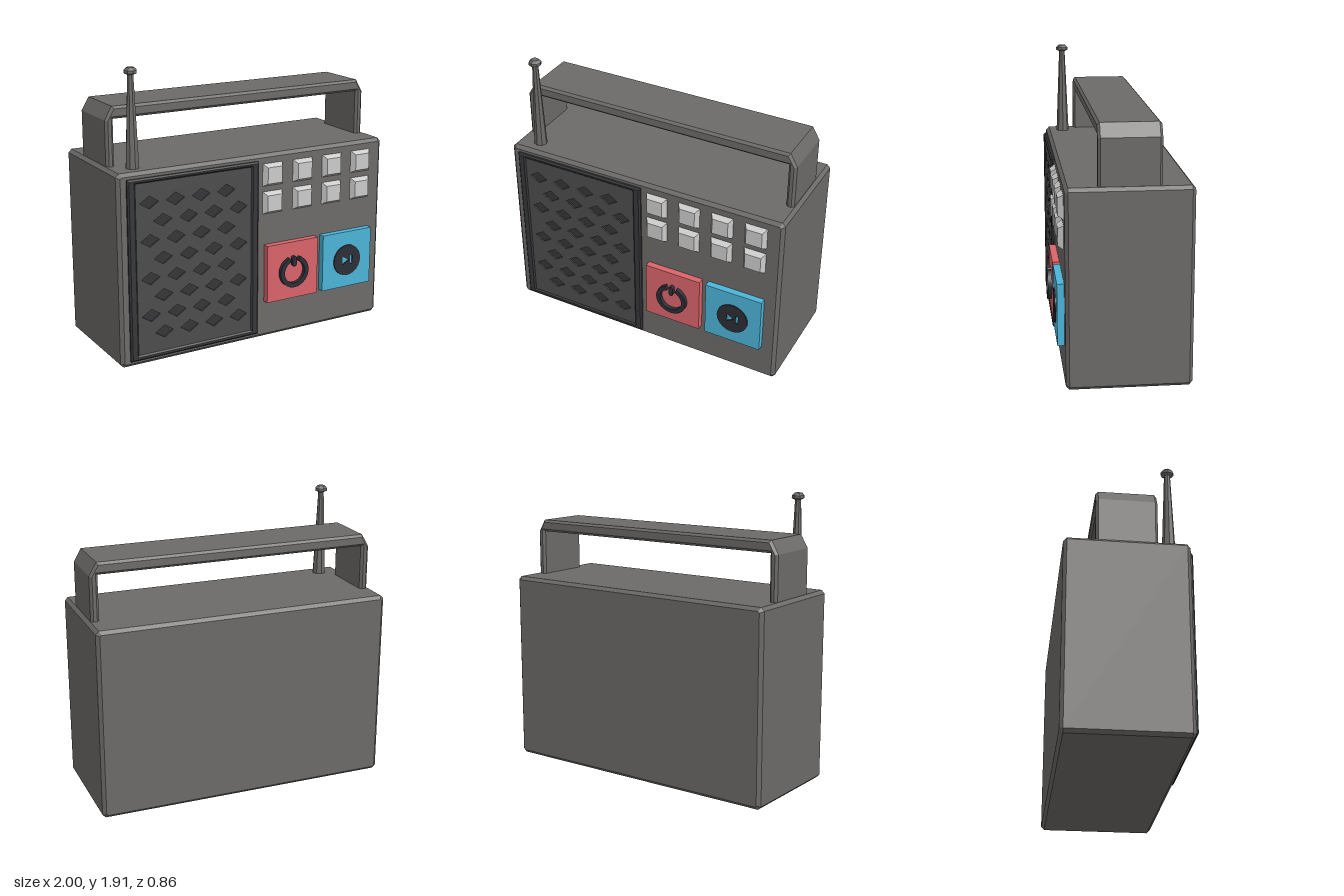
import * as THREE from 'three';

const mat = (color) => new THREE.MeshStandardMaterial({ color, flatShading: true });
const GREY = mat(0xcccccc), CASE = mat(0x6c6a68), FRAME = mat(0x36373a), GRILLE = mat(0x4c4c4d);
const HOLE = mat(0x353538), RED = mat(0xd9646a), BLUE = mat(0x4cb4d8), ICON = mat(0x2b2e36);

const poly = (pts, Type = THREE.Shape) => new Type(pts.map(([x, y]) => new THREE.Vector2(x, y)));
const rect = (x0, y0, x1, y1, Type) => poly([[x0, y0], [x1, y0], [x1, y1], [x0, y1]], Type);

export function createModel() {
  const model = new THREE.Group();
  model.name = 'portableRadio';

  const add = (name, geometry, material) => {
    const mesh = new THREE.Mesh(geometry, material);
    mesh.name = name;
    model.add(mesh);
    return mesh;
  };
  // Outline in x/y, extruded from z0 to z1 with a one-step chamfer
  const slab = (name, shape, z0, z1, chamfer, material) => {
    const geometry = new THREE.ExtrudeGeometry(shape, {
      depth: z1 - z0 - 2 * chamfer,
      bevelEnabled: chamfer > 0,
      bevelSize: chamfer,
      bevelThickness: chamfer,
      bevelOffset: -chamfer,
      bevelSegments: 1,
      curveSegments: 24,
    });
    return add(name, geometry.translate(0, 0, z0 + chamfer), material);
  };

  // Case, chamfered on the upright and horizontal edges alike
  const c = 0.022;
  slab('case', poly([
    [-1 + c, 0], [1 - c, 0], [1, c], [1, 1.28 - c], [1 - c, 1.28],
    [-1 + c, 1.28], [-1, 1.28 - c], [-1, c],
  ]), -0.43, 0.36, c, CASE);

  // Carry handle: wide strap with clipped top corners
  slab('handle', poly([
    [0.975, 1.25], [0.975, 1.575], [0.925, 1.66], [-0.925, 1.66], [-0.975, 1.575], [-0.975, 1.25],
    [-0.92, 1.25], [-0.92, 1.58], [0.92, 1.58], [0.92, 1.25],
  ]), -0.23, 0.16, 0.016, CASE);

  // Tapered antenna with a faceted knob
  const antenna = [[0, 1.27], [0.045, 1.27], [0.02, 1.865], [0.042, 1.875], [0.042, 1.893], [0.025, 1.91], [0, 1.91]]
    .map(([r, y]) => new THREE.Vector2(r, y));
  add('antenna', new THREE.LatheGeometry(antenna, 8), CASE).position.set(-0.84, 0, 0.245);

  // Speaker frame
  const frame = rect(-0.94, 0.04, 0, 1.24);
  frame.holes.push(rect(-0.885, 0.075, -0.055, 1.21, THREE.Path));
  slab('speakerFrame', frame, 0.35, 0.382, 0.01, FRAME);

  // Grille with staggered diamond holes over a dark backing
  const grille = rect(-0.9, 0.06, -0.04, 1.225);
  for (let row = 0; row < 8; row++) {
    for (let col = 0; col < 4; col++) {
      const x = -0.79 + col * 0.183 + (row % 2) * 0.091;
      const y = 1.08 - row * 0.125;
      grille.holes.push(poly([[x - 0.065, y], [x, y - 0.042], [x + 0.065, y], [x, y + 0.042]], THREE.Path));
    }
  }
  slab('speakerGrille', grille, 0.362, 0.372, 0, GRILLE);
  slab('speakerBacking', rect(-0.9, 0.06, -0.04, 1.225), 0.35, 0.363, 0, HOLE);

  // Preset buttons: low square frustums in two rows
  const button = new THREE.CylinderGeometry(0.055 * Math.SQRT2, 0.079 * Math.SQRT2, 0.04, 4)
    .rotateY(Math.PI / 4).rotateX(Math.PI / 2);
  for (const y of [1.14, 0.95]) {
    for (let col = 0; col < 4; col++) {
      add('presetButton', button, GREY).position.set(0.115 + col * 0.234, y, 0.375);
    }
  }

  // Large square buttons
  slab('powerButton', rect(0.055, 0.26, 0.455, 0.66), 0.35, 0.405, 0, RED);
  slab('playButton', rect(0.5, 0.26, 0.9, 0.66), 0.35, 0.405, 0, BLUE);

  // Power symbol: open ring and a rounded bar
  const px = 0.255, cy = 0.455, gap = 0.38;
  const ring = new THREE.Shape();
  ring.absarc(px, cy, 0.11, Math.PI / 2 + gap, Math.PI * 2.5 - gap, false);
  ring.absarc(px, cy, 0.079, Math.PI * 2.5 - gap, Math.PI / 2 + gap, true);
  slab('powerRing', ring, 0.4, 0.432, 0, ICON);
  const bar = new THREE.Shape();
  bar.absarc(px, 0.55, 0.015, 0, Math.PI, false);
  bar.absarc(px, 0.508, 0.015, Math.PI, Math.PI * 2, false);
  slab('powerBar', bar, 0.4, 0.432, 0, ICON);

  // Play symbol: disc with the triangle and bar cut out
  const disc = new THREE.Shape();
  disc.absarc(0.7, cy, 0.11, 0, Math.PI * 2, false);
  disc.holes.push(
    poly([[0.66, 0.425], [0.66, 0.485], [0.714, 0.455]], THREE.Path),
    rect(0.725, 0.425, 0.743, 0.485, THREE.Path),
  );
  slab('playDisc', disc, 0.4, 0.413, 0, ICON);

  return model;
}
